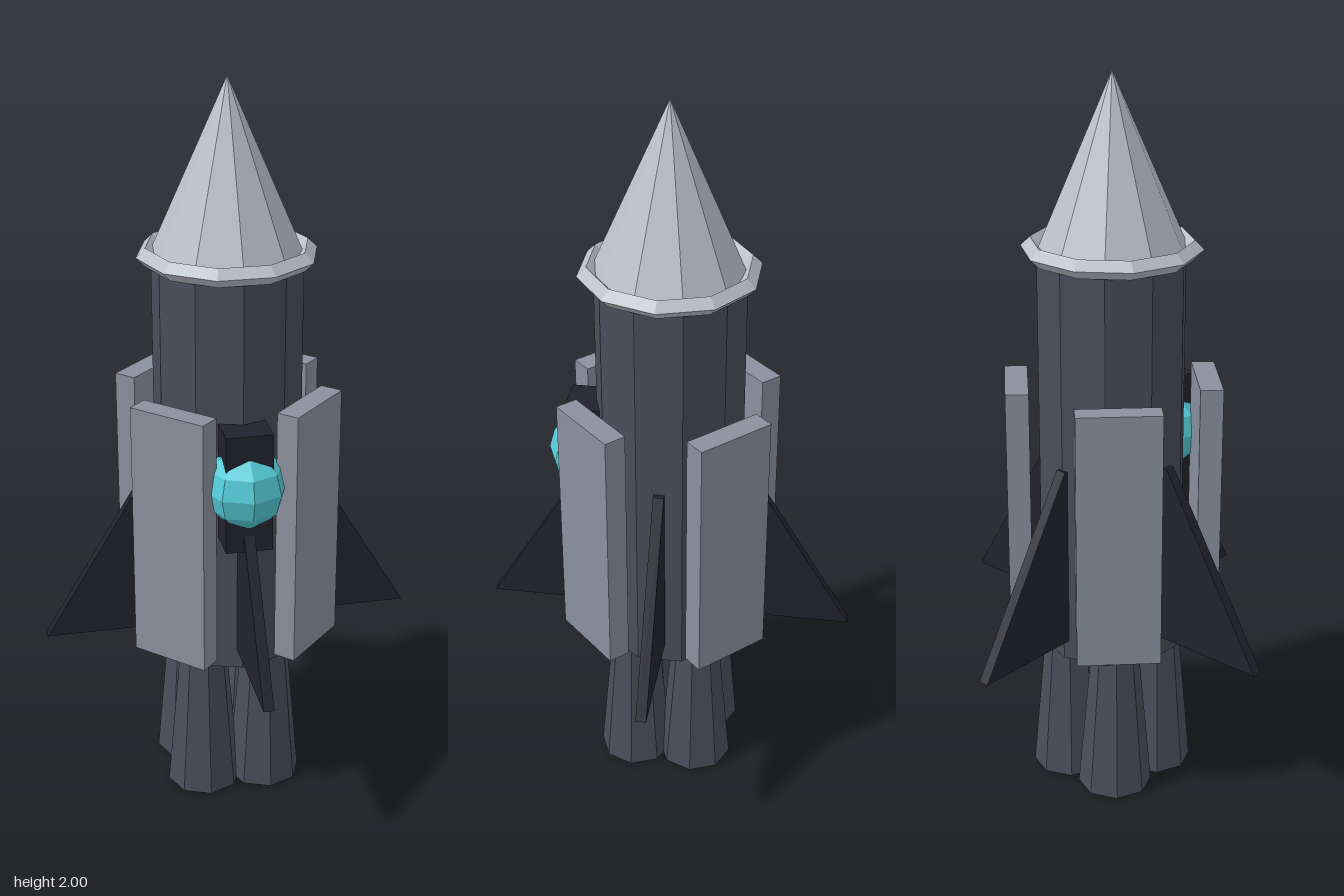
import * as THREE from 'three';

export function createModel() {
  const rocket = new THREE.Group();
  rocket.name = 'rocket';

  const paint = (name, color) => {
    const m = new THREE.MeshStandardMaterial({ color, flatShading: true });
    m.name = name;
    return m;
  };
  const hull = paint('hull grey', 0x4a4e5a);
  const silver = paint('silver', 0xbcc0c8);
  const steel = paint('panel grey', 0x8a919e);
  const dark = paint('near black', 0x22222e);
  const cyan = paint('cyan glass', 0x55ccd8);
  const flame = paint('engine orange', 0xe8a030);

  const add = (name, geometry, material, x = 0, y = 0, z = 0) => {
    const mesh = new THREE.Mesh(geometry, material);
    mesh.name = name;
    mesh.position.set(x, y, z);
    rocket.add(mesh);
    return mesh;
  };

  // Ten-sided body, nose and collar
  add('body', new THREE.CylinderGeometry(0.2, 0.2, 1.13, 10), hull, 0, 0.98, 0);
  add('noseCone', new THREE.ConeGeometry(0.2, 0.455, 10), silver, 0, 1.7725, 0);
  const collar = new THREE.TorusGeometry(0.215, 0.025, 4, 10).rotateX(Math.PI / 2);
  add('collar', collar, silver, 0, 1.543, 0);

  // Porthole on its dark mount
  add('portholeMount', new THREE.BoxGeometry(0.125, 0.328, 0.1), dark, 0, 0.977, 0.227);
  add('porthole', new THREE.SphereGeometry(0.111, 8, 6), cyan, 0, 0.977, 0.223);

  // Four triangular fins, starting just inside the body
  const finShape = new THREE.Shape([
    new THREE.Vector2(0.17, 0.47),
    new THREE.Vector2(0.512, 0.47),
    new THREE.Vector2(0.205, 0.977),
    new THREE.Vector2(0.17, 0.977),
  ]);
  const fin = new THREE.ExtrudeGeometry(finShape, { depth: 0.029, bevelEnabled: false });
  fin.translate(0, 0, -0.0145);

  // Four diagonal side panels
  const panel = new THREE.BoxGeometry(0.225, 0.713, 0.062).translate(0, 0.8265, 0.256);

  for (let i = 0; i < 4; i++) {
    add('fin', fin, dark).rotation.y = i * Math.PI / 2;
    add('sidePanel', panel, steel).rotation.y = Math.PI / 4 + i * Math.PI / 2;
  }

  // Four flared nozzles with glowing discs underneath
  const nozzle = new THREE.CylinderGeometry(0.066, 0.103, 0.415, 8);
  const glow = new THREE.CircleGeometry(0.05, 12).rotateX(Math.PI / 2);
  for (const x of [-0.087, 0.087]) {
    for (const z of [-0.087, 0.087]) {
      add('nozzle', nozzle, hull, x, 0.2105, z);
      add('nozzleGlow', glow, flame, x, 0, z);
    }
  }

  return rocket;
}
